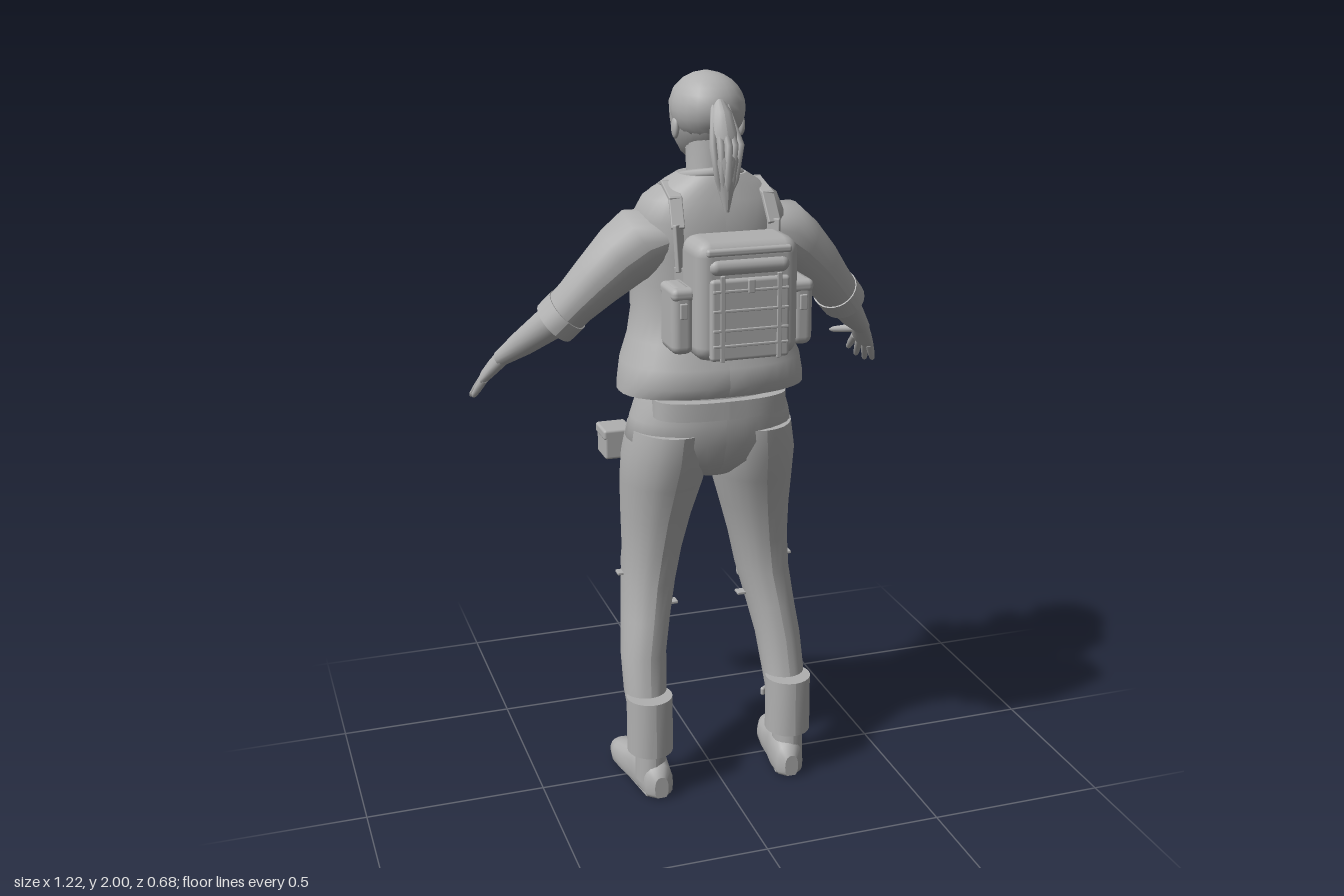
import * as THREE from 'three';
import { RoundedBoxGeometry } from 'three/addons/geometries/RoundedBoxGeometry.js';

const V = (x, y, z) => new THREE.Vector3(x, y, z);

// Skin of elliptical rings: each ring is { c, a, b } on axes u and v; p below 1 makes it squarer.
function loft(rings, u, v, seg = 24, p = 1) {
  const pos = [], idx = [], row = seg + 1;
  const pw = (t) => Math.sign(t) * Math.pow(Math.abs(t), p);
  const addRing = ({ c, a, b }) => {
    for (let j = 0; j <= seg; j++) {
      const t = ((j % seg) / seg) * Math.PI * 2;
      const q = c.clone().addScaledVector(u, a * pw(Math.cos(t))).addScaledVector(v, b * pw(Math.sin(t)));
      pos.push(q.x, q.y, q.z);
    }
  };
  rings.forEach(addRing);
  for (let i = 0; i < rings.length - 1; i++) for (let j = 0; j < seg; j++) {
    const k = i * row + j;
    idx.push(k, k + 1, k + row + 1, k, k + row + 1, k + row);
  }
  [rings[0], rings[rings.length - 1]].forEach((r, end) => {
    const s = pos.length / 3;
    addRing(r);
    pos.push(r.c.x, r.c.y, r.c.z);
    for (let j = 0; j < seg; j++) idx.push(s + row, s + j + (end ? 0 : 1), s + j + (end ? 1 : 0));
  });
  const g = new THREE.BufferGeometry();
  g.setAttribute('position', new THREE.Float32BufferAttribute(pos, 3));
  g.setIndex(idx);
  g.computeVertexNormals();
  return g;
}

// Upright form from rows [y, xMin, xMax, zMin, zMax], bottom to top
const upright = (rows, seg, p) => loft(rows.map(([y, x0, x1, z0, z1]) => ({
  c: V((x0 + x1) / 2, y, (z0 + z1) / 2), a: (z1 - z0) / 2, b: Math.abs(x1 - x0) / 2,
})), V(0, 0, 1), V(1, 0, 0), seg, p);

// Limb along points [x, y, z, width, thickness], with its width turned towards a hint
function limb(pts, hint, seg = 16) {
  const rings = pts.map(([x, y, z, a, b]) => ({ c: V(x, y, z), a, b }));
  const d = rings[rings.length - 1].c.clone().sub(rings[0].c).normalize();
  const u = hint.clone().addScaledVector(d, -hint.dot(d)).normalize();
  return loft(rings, u, d.clone().cross(u), seg);
}

export function createModel() {
  const model = new THREE.Group();
  const grey = new THREE.MeshStandardMaterial({ color: 0xb0b0b0 });
  const add = (name, geo, x = 0, y = 0, z = 0) => {
    const m = new THREE.Mesh(geo, grey);
    m.name = name;
    m.position.set(x, y, z);
    model.add(m);
    return m;
  };
  const box = (name, w, h, d, x, y, z, r = 0.008) => add(name, new RoundedBoxGeometry(w, h, d, 2, Math.min(r, w / 2.1, h / 2.1, d / 2.1)), x, y, z);
  const ball = (name, rx, ry, rz, x, y, z) => {
    const m = add(name, new THREE.SphereGeometry(1, 20, 14), x, y, z);
    m.scale.set(rx, ry, rz);
    return m;
  };
  // Flat strip through a list of points
  const strap = (name, pts, w, t) => pts.slice(1).forEach((q, i) => {
    const a = V(...pts[i]), b = V(...q), mid = a.clone().add(b).multiplyScalar(0.5);
    box(name, w, t, a.distanceTo(b) + t, mid.x, mid.y, mid.z, 0.003).lookAt(b);
  });
  // Pouch on the chest side (-z) with a flap and a buckle
  const pouch = (name, x, y, z, w, h, d) => {
    box(name, w, h, d, x, y, z);
    box(name + 'Flap', w + 0.006, h * 0.35, d + 0.006, x, y + h * 0.34, z - 0.003);
    box(name + 'Buckle', w * 0.2, h * 0.3, 0.008, x, y + h * 0.1, z - d / 2 - 0.004, 0.002);
  };

  // Head and face
  add('neck', upright([[1.66, -0.075, 0.075, -0.07, 0.085], [1.73, -0.062, 0.062, -0.055, 0.075], [1.84, -0.062, 0.062, -0.07, 0.07]]));
  add('head', upright([
    [1.765, -0.028, 0.028, -0.125, -0.045], [1.785, -0.052, 0.052, -0.142, 0.01], [1.815, -0.072, 0.072, -0.148, 0.06],
    [1.85, -0.085, 0.085, -0.148, 0.08], [1.88, -0.091, 0.091, -0.147, 0.09], [1.92, -0.094, 0.094, -0.145, 0.093],
    [1.955, -0.083, 0.083, -0.125, 0.078], [1.98, -0.06, 0.06, -0.095, 0.05], [1.993, -0.035, 0.035, -0.065, 0.02], [2, -0.006, 0.006, -0.03, -0.015],
  ], 32));
  ball('hair', 0.097, 0.094, 0.108, 0, 1.905, -0.008);
  add('nose', upright([[1.828, -0.014, 0.014, -0.152, -0.13], [1.838, -0.016, 0.016, -0.172, -0.13], [1.85, -0.011, 0.011, -0.165, -0.13], [1.885, -0.007, 0.007, -0.15, -0.13]], 12));
  ball('lips', 0.024, 0.008, 0.012, 0, 1.81, -0.142);
  for (const s of [1, -1]) {
    ball('ear', 0.01, 0.028, 0.018, s * 0.09, 1.858, -0.005);
    ball('eye', 0.014, 0.007, 0.008, s * 0.034, 1.877, -0.139);
    ball('brow', 0.02, 0.005, 0.008, s * 0.036, 1.895, -0.138);
  }

  // Ponytail with loose strands
  add('ponytail', upright([[1.66, -0.006, 0.006, 0.14, 0.152], [1.72, -0.022, 0.022, 0.115, 0.16], [1.79, -0.036, 0.036, 0.105, 0.165], [1.86, -0.036, 0.036, 0.09, 0.15], [1.91, -0.026, 0.026, 0.07, 0.125], [1.95, -0.008, 0.008, 0.055, 0.08]], 14));
  for (let i = -2; i <= 2; i++) {
    const out = 0.007 * (2 - Math.abs(i));
    add('hairStrand', limb([[i * 0.009, 1.93, 0.085, 0.006, 0.006], [i * 0.018, 1.83, 0.145 + out, 0.011, 0.01], [i * 0.011, 1.74, 0.146 + out, 0.01, 0.008], [i * 0.006, 1.675 + Math.abs(i) * 0.014, 0.145, 0.002, 0.002]], V(1, 0, 0), 6));
  }

  // Jacket body, collar and front edges
  add('jacket', upright([
    [1.17, -0.258, 0.258, -0.145, 0.165], [1.2, -0.255, 0.255, -0.16, 0.18], [1.25, -0.247, 0.247, -0.162, 0.175], [1.31, -0.22, 0.22, -0.172, 0.145],
    [1.38, -0.203, 0.203, -0.188, 0.135], [1.46, -0.2, 0.2, -0.19, 0.135], [1.55, -0.205, 0.205, -0.178, 0.142], [1.63, -0.205, 0.205, -0.15, 0.14],
    [1.685, -0.18, 0.18, -0.11, 0.122], [1.725, -0.122, 0.122, -0.085, 0.11], [1.745, -0.09, 0.09, -0.06, 0.1],
  ], 36, 0.85));
  add('collar', new THREE.TorusGeometry(0.076, 0.014, 8, 28).rotateX(Math.PI / 2).rotateX(-0.22), 0, 1.735, 0.012);
  for (const s of [1, -1]) {
    strap('frontEdge', [[s * 0.03, 1.18, -0.155], [s * 0.03, 1.27, -0.168], [s * 0.03, 1.4, -0.192], [s * 0.033, 1.5, -0.188], [s * 0.042, 1.6, -0.165], [s * 0.062, 1.68, -0.115]], 0.03, 0.01);
    box('collarTip', 0.05, 0.05, 0.012, s * 0.07, 1.7, -0.098).rotation.set(0.75, -s * 0.3, s * 0.4);
    pouch('chestPouch', s * 0.128, 1.47, -0.215, 0.075, 0.06, 0.055);
    box('chestPocket', 0.1, 0.08, 0.02, s * 0.12, 1.39, -0.178);
    box('radioPouch', 0.034, 0.052, 0.035, s * 0.12, 1.575, -0.178);
    box('pocketFlap', 0.11, 0.028, 0.02, s * 0.125, 1.265, -0.155).rotation.y = s * -0.25;
    box('lowerPocket', 0.1, 0.05, 0.015, s * 0.125, 1.228, -0.15).rotation.y = s * -0.25;
    // Shoulder harness
    strap('packStrap', [[s * 0.115, 1.34, 0.14], [s * 0.125, 1.52, 0.148], [s * 0.13, 1.63, 0.142], [s * 0.125, 1.695, 0.105], [s * 0.12, 1.722, 0.02], [s * 0.115, 1.685, -0.095], [s * 0.12, 1.62, -0.155], [s * 0.13, 1.5, -0.188]], 0.035, 0.012);
  }

  // Arms and hands
  for (const s of [1, -1]) {
    const arm = (name, pts, hint, seg) => add(name, limb(pts.map(([x, ...r]) => [s * x, ...r]), V(s * hint[0], hint[1], hint[2]), seg));
    arm('sleeve', [[0.12, 1.595, 0.015, 0.095, 0.07], [0.18, 1.578, 0.012, 0.1, 0.094], [0.24, 1.535, 0.005, 0.092, 0.086], [0.31, 1.47, -0.005, 0.078, 0.072], [0.36, 1.415, -0.025, 0.07, 0.062], [0.41, 1.357, -0.052, 0.07, 0.058]], [0, 0, 1], 24);
    arm('sleeveCuff', [[0.38, 1.39, -0.038, 0.075, 0.063], [0.412, 1.354, -0.054, 0.076, 0.062]], [0, 0, 1], 24);
    const spread = [-0.045, 0.02, -0.095];
    arm('forearm', [[0.375, 1.39, -0.04, 0.046, 0.046], [0.42, 1.345, -0.082, 0.048, 0.046], [0.48, 1.282, -0.143, 0.038, 0.036], [0.535, 1.228, -0.195, 0.026, 0.022]], spread);
    arm('palm', [[0.525, 1.238, -0.185, 0.026, 0.022], [0.545, 1.205, -0.218, 0.035, 0.02], [0.565, 1.17, -0.25, 0.038, 0.016], [0.57, 1.162, -0.258, 0.03, 0.01]], spread);
    const fingers = [
      [[0.548, 1.182, -0.272], [0.556, 1.125, -0.342]], [[0.56, 1.174, -0.262], [0.582, 1.1, -0.34]],
      [[0.57, 1.168, -0.246], [0.6, 1.092, -0.315]], [[0.576, 1.163, -0.228], [0.603, 1.105, -0.262]],
      [[0.53, 1.222, -0.21], [0.483, 1.195, -0.31]],
    ];
    fingers.forEach(([a, b], i) => {
      const at = (t, r) => [...a.map((q, k) => q + (b[k] - q) * t), r, r];
      arm(i < 4 ? 'finger' : 'thumb', [at(0, 0.012), at(0.5, 0.011), at(0.9, 0.008), at(1, 0.003)], spread, 10);
    });
    const patch = box('armPatch', 0.05, 0.055, 0.009, s * 0.255, 1.55, -0.088, 0.002);
    patch.rotation.set(0.1, s * -0.2, s * 0.6);
  }

  // Trousers
  add('hips', upright([
    [0.92, -0.07, 0.07, -0.1, 0.07], [0.97, -0.19, 0.19, -0.145, 0.125], [1.03, -0.235, 0.235, -0.15, 0.148],
    [1.09, -0.222, 0.222, -0.145, 0.152], [1.15, -0.203, 0.203, -0.135, 0.148], [1.22, -0.18, 0.18, -0.12, 0.13],
  ], 32, 0.9));
  add('belt', upright([[1.11, -0.185, 0.185, 0, 0.172], [1.16, -0.185, 0.185, 0, 0.172]], 32, 0.8));
  for (const s of [1, -1]) {
    const rows = (list) => list.map(([y, x0, x1, z0, z1]) => [y, s * x0, s * x1, z0, z1]);
    add('trouserLeg', upright(rows([
      [0.2, 0.155, 0.26, 0.035, 0.14], [0.3, 0.147, 0.268, -0.01, 0.115], [0.4, 0.138, 0.266, -0.055, 0.095], [0.5, 0.118, 0.255, -0.1, 0.08], [0.6, 0.095, 0.246, -0.13, 0.062],
      [0.7, 0.075, 0.24, -0.145, 0.07], [0.8, 0.048, 0.242, -0.157, 0.085], [0.9, 0.018, 0.245, -0.163, 0.112], [0.98, 0.004, 0.243, -0.158, 0.14], [1.06, 0.005, 0.228, -0.145, 0.148],
    ])));
    add('ankleCuff', upright(rows([[0.13, 0.143, 0.272, 0.028, 0.166], [0.295, 0.143, 0.272, 0.03, 0.162]])));
    box('cuffTab', 0.05, 0.025, 0.014, s * 0.165, 0.225, 0.036).rotation.y = s * 0.6;
    add('ankle', upright(rows([[0.04, 0.165, 0.25, 0.04, 0.155], [0.14, 0.165, 0.25, 0.05, 0.15]])));

    // Shoe, from toe to heel, flat underneath
    const shoe = loft([
      [-0.135, 0.022, 0.02, 0.235, 0.015], [-0.115, 0.026, 0.034, 0.233, 0.036], [-0.07, 0.03, 0.045, 0.226, 0.05], [-0.01, 0.034, 0.058, 0.217, 0.05],
      [0.05, 0.044, 0.075, 0.208, 0.046], [0.1, 0.045, 0.075, 0.2, 0.046], [0.15, 0.038, 0.062, 0.197, 0.04], [0.17, 0.035, 0.035, 0.196, 0.02],
    ].map(([z, y, b, x, a]) => ({ c: V(s * x, y, z), a, b })), V(1, 0, 0), V(0, 1, 0), 20, 0.85);
    const p = shoe.attributes.position;
    for (let i = 0; i < p.count; i++) p.setY(i, Math.max(0.006, p.getY(i)));
    shoe.computeVertexNormals();
    add('shoe', shoe);
    box('shoeSole', 0.075, 0.012, 0.22, s * 0.212, 0.006, 0.03, 0.005).rotation.y = s * -0.14;

    // Knee pad and its strap ends
    box('kneePad', 0.09, 0.115, 0.035, s * 0.175, 0.575, -0.135, 0.014).rotation.x = -0.1;
    box('kneePadFace', 0.065, 0.085, 0.02, s * 0.175, 0.578, -0.15, 0.008).rotation.x = -0.1;
    box('kneeStrapOuter', 0.045, 0.008, 0.03, s * 0.237, 0.62, -0.04, 0.002);
    box('kneeStrapInner', 0.05, 0.008, 0.03, s * 0.115, 0.52, -0.02, 0.002);
  }
  pouch('thighPouch', -0.22, 0.965, -0.18, 0.08, 0.085, 0.09);
  box('thighPouchPocket', 0.06, 0.05, 0.025, -0.22, 0.955, -0.232);
  pouch('thighPouch', 0.195, 0.965, -0.165, 0.075, 0.09, 0.05);

  // Backpack
  box('packBody', 0.275, 0.31, 0.155, 0, 1.468, 0.247, 0.04);
  box('packPanel', 0.21, 0.21, 0.025, 0, 1.425, 0.322, 0.01);
  box('packFlap', 0.225, 0.02, 0.03, 0, 1.595, 0.312, 0.008);
  add('packRoll', new THREE.CapsuleGeometry(0.022, 0.17, 6, 14).rotateZ(Math.PI / 2), 0, 1.558, 0.314);
  for (const y of [1.5, 1.45, 1.4, 1.36]) box('packBand', 0.2, 0.007, 0.008, 0, y, 0.335, 0.002);
  box('packBuckle', 0.018, 0.035, 0.01, 0, 1.51, 0.336, 0.003);
  for (const s of [1, -1]) {
    box('packSidePocket', 0.06, 0.175, 0.115, s * 0.16, 1.417, 0.227, 0.022);
    box('packSideFlap', 0.064, 0.035, 0.12, s * 0.158, 1.485, 0.227, 0.015);
    box('packSideBuckle', 0.02, 0.04, 0.01, s * 0.16, 1.445, 0.285, 0.003);
    box('packWebbing', 0.012, 0.22, 0.008, s * 0.075, 1.43, 0.335, 0.002);
    box('packMount', 0.05, 0.2, 0.05, s * 0.09, 1.46, 0.155);
  }
  return model;
}
